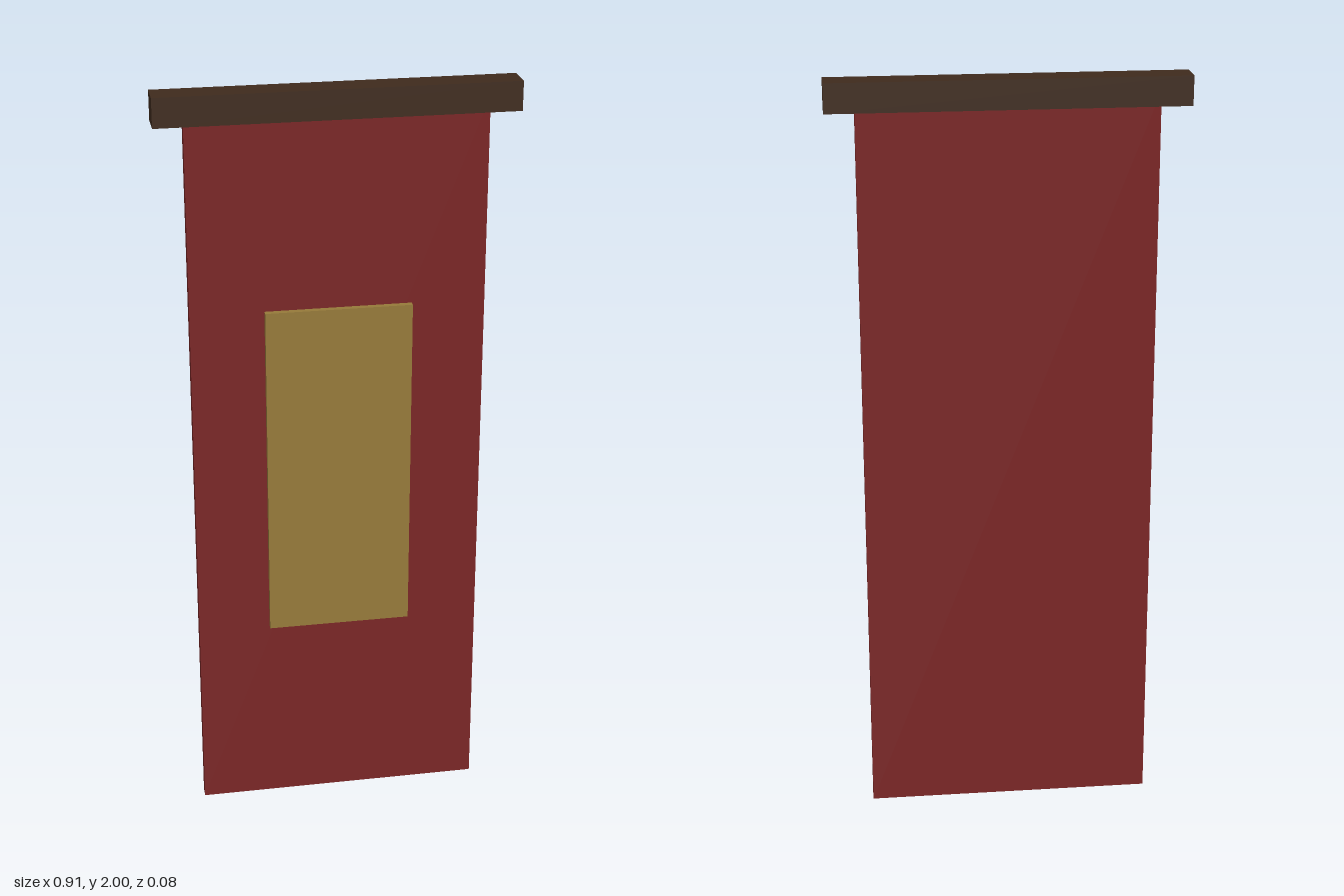
import * as THREE from 'three';

export function createModel() {
  const model = new THREE.Group();
  model.name = 'hangingBanner';

  function addBox(name, color, size, position) {
    const mesh = new THREE.Mesh(
      new THREE.BoxGeometry(...size),
      new THREE.MeshStandardMaterial({ color })
    );
    mesh.name = name;
    mesh.position.set(...position);
    model.add(mesh);
  }

  // Wooden bar the cloth hangs from
  addBox('crossbar', 0x3f2b1d, [0.906, 0.075, 0.075], [0, 1.9625, 0]);

  // Cloth, its top edge held inside the bar
  addBox('cloth', 0x7a2626, [0.755, 1.962, 0.03], [0, 0.981, 0]);

  // Raised panel on the front of the cloth
  addBox('emblemPanel', 0x967a3a, [0.377, 0.906, 0.025], [0, 0.981, 0.0185]);

  return model;
}
